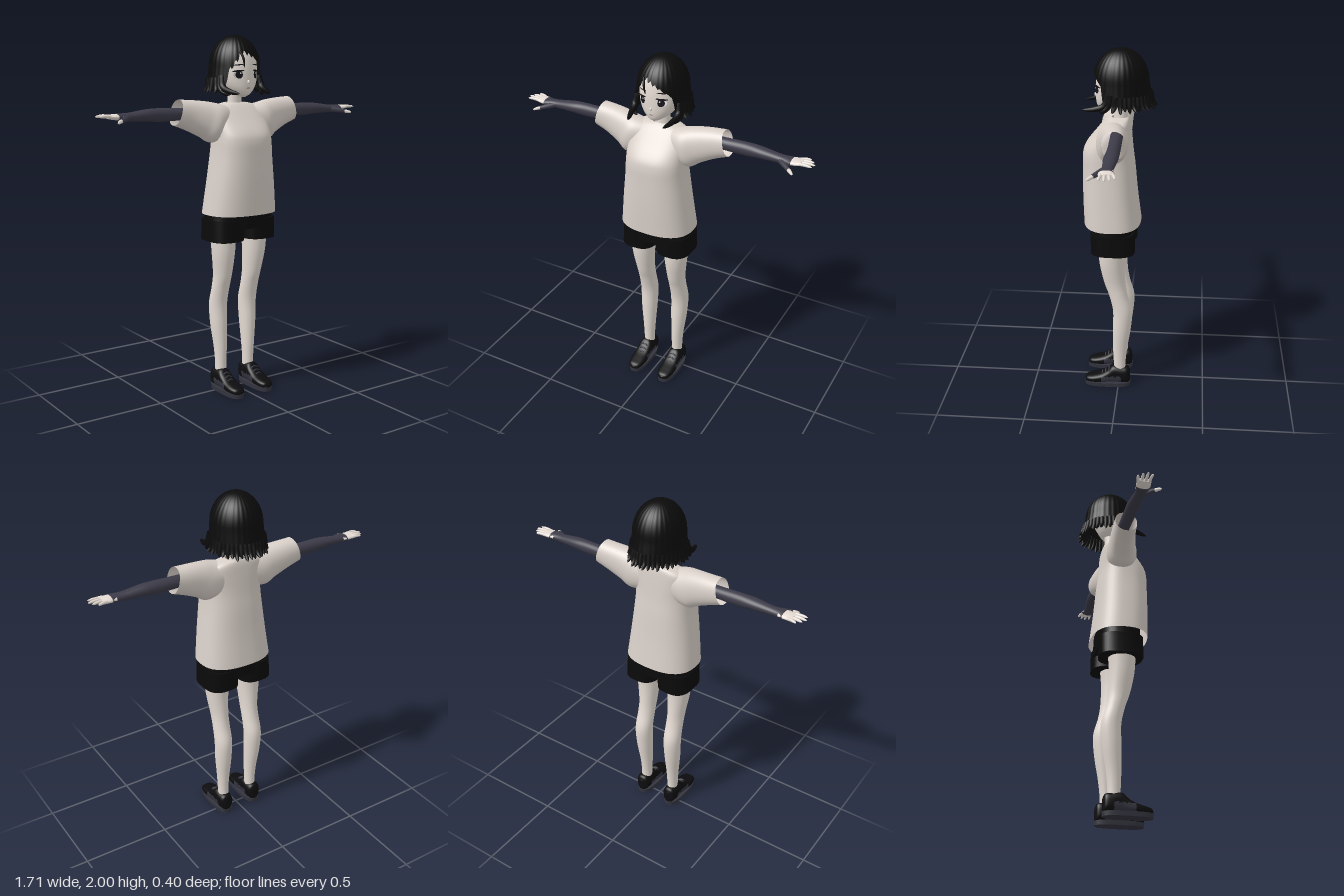
import * as THREE from 'three';

const V = (x, y, z) => new THREE.Vector3(x, y, z);
const mat = (name, color, side = THREE.FrontSide) => {
  const m = new THREE.MeshStandardMaterial({ color, side });
  m.name = name;
  return m;
};

// Surface through rows of points; optional end caps and a rule choosing a material per face
function grid(rows, caps = '', rule = () => 0) {
  const n = rows[0].length, pts = rows.flat(), lists = [[], []];
  const tri = (a, b, c) => {
    const mid = pts[a].clone().add(pts[b]).add(pts[c]).divideScalar(3);
    lists[rule(mid)].push(a, b, c);
  };
  for (let j = 0; j < rows.length - 1; j++) for (let i = 0; i < n; i++) {
    const a = j * n + i, b = j * n + (i + 1) % n;
    tri(a, a + n, b);
    tri(b, a + n, b + n);
  }
  const cap = (row, end) => {
    const s = pts.length;
    pts.push(...row, row.reduce((c, p) => c.add(p), V(0, 0, 0)).divideScalar(n));
    for (let i = 0; i < n; i++) {
      const k = s + (i + 1) % n;
      end ? tri(s + n, k, s + i) : tri(s + n, s + i, k);
    }
  };
  if (caps.includes('s')) cap(rows[0], false);
  if (caps.includes('e')) cap(rows[rows.length - 1], true);
  const g = new THREE.BufferGeometry().setFromPoints(pts);
  g.setIndex([...lists[0], ...lists[1]]);
  if (lists[1].length) {
    g.addGroup(0, lists[0].length, 0);
    g.addGroup(lists[0].length, lists[1].length, 1);
  }
  g.computeVertexNormals();
  return g;
}

// Smoothly fill in between sections [x, y, z, radiusA, radiusB]
function refine(sections, per = 5) {
  const c = new THREE.CatmullRomCurve3(sections.map(s => V(s[0], s[1], s[2])), false, 'catmullrom');
  const r = new THREE.CatmullRomCurve3(sections.map(s => V(s[3], s[4], 0)), false, 'catmullrom');
  const count = (sections.length - 1) * per;
  return Array.from({ length: count + 1 }, (_, i) => {
    const p = c.getPoint(i / count), q = r.getPoint(i / count);
    return [p.x, p.y, p.z, q.x, q.y];
  });
}

// Loft of rounded sections across an axis (y and x ascend, z descends)
function loft(axis, sections, { n = 2, caps = '', seg = 36, rule, skew = 0 } = {}) {
  const pw = v => Math.sign(v) * Math.abs(v) ** (2 / n);
  const rows = refine(sections).map(([x, y, z, a, b]) => Array.from({ length: seg }, (_, i) => {
    const t = i / seg * Math.PI * 2, c = pw(Math.cos(t)), s = pw(Math.sin(t));
    if (axis === 'y') return V(x + a * c, y, z + b * s);
    if (axis === 'x') return V(x - a * s * skew, y + a * s, z + b * c);
    return V(x + a * c, y + b * s, z);
  }));
  return grid(rows, caps, rule);
}

// Tube along points whose radius follows a taper function
function taperTube(points, r, taper, seg = 10, sides = 8) {
  const curve = new THREE.CatmullRomCurve3(points.map(p => V(...p)));
  const g = new THREE.TubeGeometry(curve, seg, r, sides);
  const pos = g.attributes.position, v = V(0, 0, 0);
  for (let i = 0; i < pos.count; i++) {
    const t = Math.floor(i / (sides + 1)) / seg;
    v.fromBufferAttribute(pos, i);
    v.lerp(curve.getPointAt(t), 1 - taper(t));
    pos.setXYZ(i, v.x, v.y, v.z);
  }
  return g;
}
const pointed = t => Math.sqrt(Math.max(0, 1 - t * t));
const fingertip = t => Math.sqrt(Math.max(0, 1 - t ** 6)) * (1 - 0.25 * t);

export function createModel() {
  const root = new THREE.Group();
  root.name = 'figure';
  const skin = mat('skin', 0xe4dbd3), shirt = mat('shirt cloth', 0xd8cfc8, THREE.DoubleSide);
  const hair = mat('hair', 0x0b0b0c, THREE.DoubleSide), black = mat('shorts cloth', 0x0a0a0a);
  const sleeve = mat('arm sleeve', 0x3c3b48), shoe = mat('shoe black', 0x0d0d0f);
  const trim = mat('shoe grey', 0x34343f), white = mat('eye white', 0xf2eeea);
  const dark = mat('eye dark', 0x17151a), lip = mat('lip', 0x9c6a62);

  const add = (name, geo, m) => {
    const mesh = new THREE.Mesh(geo, m);
    mesh.name = name;
    root.add(mesh);
  };
  const pair = (name, geo, m) => {
    add(name + 'Left', geo, m);
    const g = geo.clone().scale(-1, 1, 1), ix = g.index;
    for (let i = 0; i < ix.count; i += 3) {
      const b = ix.getX(i + 1);
      ix.setX(i + 1, ix.getX(i + 2));
      ix.setX(i + 2, b);
    }
    add(name + 'Right', g, m);
  };

  // Shirt
  add('shirtBody', loft('y', [
    [0, 1.03, 0.037, 0.21, 0.158], [0, 1.2, 0.05, 0.19, 0.15], [0, 1.35, 0.057, 0.172, 0.143],
    [0, 1.43, 0.061, 0.166, 0.137], [0, 1.48, 0.055, 0.164, 0.126], [0, 1.55, 0.03, 0.166, 0.095],
    [0, 1.6, 0.012, 0.155, 0.072], [0, 1.625, 0.003, 0.115, 0.058], [0, 1.637, -0.002, 0.06, 0.048],
  ], { n: 2.5, seg: 48 }), shirt);
  pair('shirtSleeve', loft('x', [
    [0.08, 1.53, 0.02, 0.088, 0.07], [0.16, 1.53, 0.027, 0.104, 0.085], [0.22, 1.552, 0.017, 0.094, 0.075],
    [0.3, 1.575, 0.006, 0.08, 0.066], [0.379, 1.592, 0.001, 0.068, 0.062],
  ], { n: 2.2, skew: 0.26 }), shirt);

  // Shorts
  add('shortsHips', loft('y', [[0, 0.95, 0.03, 0.203, 0.124], [0, 1.08, 0.03, 0.19, 0.118]],
    { n: 2.8, caps: 'se' }), black);
  pair('shortsLeg', loft('y', [[0.106, 0.883, 0.029, 0.1, 0.123], [0.102, 1.0, 0.03, 0.1, 0.122]],
    { n: 2.8, caps: 'se' }), black);

  // Legs
  pair('leg', loft('y', [
    [0.095, 0.05, -0.008, 0.03, 0.035], [0.095, 0.15, -0.007, 0.031, 0.035], [0.096, 0.25, -0.01, 0.036, 0.042],
    [0.1, 0.38, -0.02, 0.046, 0.052], [0.101, 0.5, -0.024, 0.05, 0.055], [0.1, 0.6, 0, 0.049, 0.053],
    [0.1, 0.68, 0.02, 0.05, 0.06], [0.104, 0.8, 0.035, 0.062, 0.07], [0.105, 0.92, 0.035, 0.072, 0.078],
  ]), skin);

  // Shoes: upper from [z, half width, height], sole and laces
  const upper = [[0.198, 0.01, 0.02], [0.185, 0.032, 0.035], [0.15, 0.045, 0.045], [0.1, 0.047, 0.06],
    [0.06, 0.044, 0.085], [0.03, 0.042, 0.11], [-0.02, 0.042, 0.105], [-0.055, 0.036, 0.1], [-0.068, 0.015, 0.075]];
  pair('shoeUpper', loft('z', upper.map(([z, a, h]) => [0.098, 0.018 + h / 2, z, a, h / 2]), {
    n: 2.6, caps: 'se', rule: p => (p.z < 0.1 && p.z > -0.015 && p.y < 0.068 ? 1 : 0),
  }), [shoe, trim]);
  pair('shoeSole', loft('y', [[0.098, 0, 0.064, 0.048, 0.134], [0.098, 0.025, 0.064, 0.05, 0.136]],
    { n: 2.7, caps: 'se' }), trim);
  for (const [z, y] of [[0.095, 0.083], [0.075, 0.097], [0.055, 0.112]])
    pair('shoeLace', taperTube([[0.072, y - 0.012, z], [0.098, y, z], [0.124, y - 0.012, z]], 0.004, () => 1), trim);

  // Arms and hands
  pair('arm', loft('x', [
    [0.2, 1.585, 0, 0.03, 0.033], [0.36, 1.583, -0.003, 0.033, 0.033], [0.48, 1.583, -0.003, 0.036, 0.034],
    [0.56, 1.585, 0, 0.031, 0.036], [0.66, 1.58, 0.003, 0.023, 0.029], [0.705, 1.58, 0.006, 0.021, 0.032],
    [0.735, 1.581, 0.006, 0.019, 0.041],
  ], { caps: 'se' }), sleeve);
  pair('thumbCover', taperTube([[0.68, 1.577, 0.02], [0.715, 1.57, 0.05], [0.742, 1.565, 0.07]], 0.017,
    t => 1 - 0.35 * t), sleeve);
  pair('thumb', taperTube([[0.725, 1.567, 0.058], [0.75, 1.563, 0.077], [0.772, 1.557, 0.096]], 0.011,
    fingertip), skin);
  pair('palm', loft('x', [[0.71, 1.582, 0.005, 0.015, 0.034], [0.75, 1.583, 0.003, 0.015, 0.039],
    [0.787, 1.586, 0, 0.01, 0.037]], { caps: 'e' }), skin);
  [[-0.029, 0.82, -0.043], [-0.01, 0.843, -0.02], [0.009, 0.855, 0.005], [0.027, 0.846, 0.032]].forEach(([z, x, tz]) =>
    pair('finger', taperTube([[0.765, 1.585, z], [(0.765 + x) / 2, 1.589, (z + tz) / 2], [x, 1.587, tz]],
      0.0095, fingertip), skin));

  // Neck and head
  add('neck', loft('y', [[0, 1.57, -0.01, 0.05, 0.045], [0, 1.64, -0.006, 0.04, 0.037],
    [0, 1.74, 0, 0.04, 0.04]]), skin);
  const headSections = [
    [0, 1.668, 0.075, 0.012, 0.015], [0, 1.685, 0.06, 0.045, 0.055], [0, 1.72, 0.035, 0.085, 0.09],
    [0, 1.77, 0.02, 0.108, 0.107], [0, 1.83, 0.005, 0.115, 0.12], [0, 1.89, 0, 0.106, 0.113],
    [0, 1.94, 0, 0.073, 0.083], [0, 1.965, 0, 0.01, 0.01]];
  add('head', loft('y', headSections, { caps: 'se', seg: 48 }), skin);
  const dense = refine(headSections);
  const faceZ = (x, y) => {
    const i = dense.findIndex(s => s[1] > y), lo = dense[i - 1], hi = dense[i];
    const [, , z, a, b] = lo.map((v, k) => v + (hi[k] - v) * (y - lo[1]) / (hi[1] - lo[1]));
    return z + b * Math.sqrt(Math.max(0, 1 - (x / a) ** 2));
  };

  // Facial details: flat ellipses wrapped onto the face
  const spot = (x, y, rx, ry, lift, tilt = 0) => {
    const g = new THREE.CircleGeometry(1, 24).scale(rx, ry, 1).rotateZ(tilt).translate(x, y, 0);
    const p = g.attributes.position;
    for (let i = 0; i < p.count; i++) p.setZ(i, faceZ(p.getX(i), p.getY(i)) + lift);
    return g;
  };
  pair('eyeWhite', spot(0.054, 1.787, 0.024, 0.02, 0.002), white);
  pair('iris', spot(0.053, 1.788, 0.017, 0.021, 0.004), dark);
  pair('eyeGlint', spot(0.048, 1.796, 0.004, 0.005, 0.006), white);
  pair('upperLash', spot(0.056, 1.808, 0.028, 0.005, 0.006, -0.12), dark);
  pair('eyebrow', spot(0.055, 1.84, 0.026, 0.003, 0.004, -0.1), dark);
  add('mouth', spot(0, 1.716, 0.013, 0.0025, 0.003), lip);
  add('nose', new THREE.SphereGeometry(0.009, 12, 8).scale(0.8, 1.2, 1).translate(0, 1.748, 0.127), skin);

  // Hair shell: a dome whose lower edge rises over the face
  const cols = 120, steps = 22, lerp = THREE.MathUtils.lerp, sm = THREE.MathUtils.smoothstep;
  const lowerEdge = (d, i) => {
    const jag = (i % 4 < 2 ? i % 2 : 1 - i % 2) * 0.012 + 0.006 * Math.sin(i * 1.7);
    const part = d + 0.3;
    const bangs = 1.9 - (part > 0 ? 0.085 * (part / 1.15) ** 1.4 : 0.1 * (-part / 0.55));
    return lerp(bangs, 1.705, sm(Math.abs(d), 0.82, 1.0)) + jag;
  };
  const hairPoint = (t, y) => {
    const k = y > 1.83 ? Math.sqrt(Math.max(0, 1 - ((y - 1.83) / 0.17) ** 2)) : 1;
    const drop = Math.max(0, 1.83 - y), back = Math.max(0, -Math.sin(t));
    const ridge = 1 + 0.008 * Math.sin(t * 30);
    return V((0.136 + drop * 0.1) * k * ridge * Math.cos(t), y,
      -0.007 + (0.148 + drop * 0.2 * back) * k * ridge * Math.sin(t));
  };
  const hairRows = Array.from({ length: steps + 1 }, (_, j) => Array.from({ length: cols }, (_, i) => {
    const t = i / cols * Math.PI * 2;
    const d = Math.atan2(Math.cos(t), Math.sin(t)), y0 = lowerEdge(d, i);
    return hairPoint(t, lerp(y0, 2, Math.sin(j / steps * Math.PI / 2)));
  }));
  add('hairShell', grid(hairRows), hair);

  // Hair locks: flicked tips round the back, side flicks, forward locks and a loose strand
  for (let i = 0; i <= 20; i++) {
    const t = Math.PI + 0.05 + (i / 20) * (Math.PI - 0.1), out = 1.1 + 0.06 * Math.sin(i * 2.3);
    const a = hairPoint(t, 1.77), b = hairPoint(t, 1.715);
    add('hairTip', taperTube([[a.x * 0.97, a.y, a.z * 0.97], [b.x, b.y, b.z],
      [b.x * (out - 0.05), 1.69 + 0.008 * Math.sin(i * 3.1), b.z * out]], 0.015, pointed), hair);
  }
  pair('frontLock', taperTube([[0.122, 1.78, 0.05], [0.128, 1.722, 0.07], [0.12, 1.7, 0.125], [0.1, 1.69, 0.19]],
    0.019, pointed), hair);
  pair('sideLock', taperTube([[0.128, 1.78, 0.04], [0.133, 1.72, 0.05], [0.125, 1.69, 0.08], [0.095, 1.682, 0.1]],
    0.018, pointed), hair);
  pair('sideFlick', taperTube([[0.13, 1.77, 0.01], [0.138, 1.71, 0.02], [0.155, 1.688, 0.03]], 0.018, pointed), hair);
  add('looseStrand', taperTube([[-0.045, 1.91, 0.115], [-0.036, 1.87, 0.133], [-0.03, 1.825, 0.131]],
    0.007, pointed), hair);
  return root;
}
